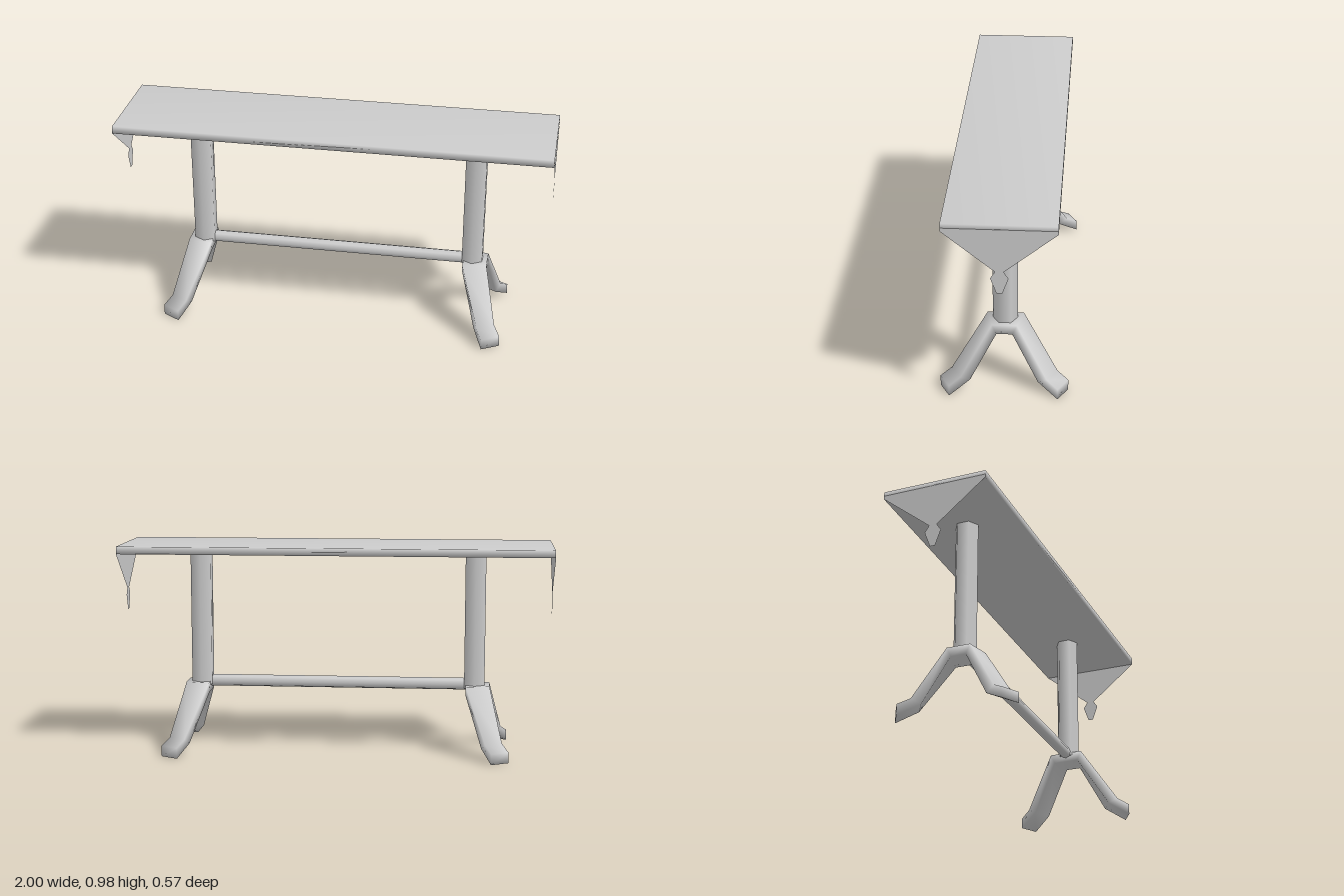
import * as THREE from 'three';
import { mergeVertices } from 'three/addons/utils/BufferGeometryUtils.js';

const material = new THREE.MeshStandardMaterial({ color: 0xcccccc });
const clothMaterial = new THREE.MeshStandardMaterial({ color: 0xcccccc, side: THREE.DoubleSide });

function part(name, geometry, mat = material) {
  const mesh = new THREE.Mesh(geometry, mat);
  mesh.name = name;
  return mesh;
}

// Weld all corners so the shading runs smoothly over the edges
function softened(geometry) {
  geometry.deleteAttribute('normal');
  geometry.deleteAttribute('uv');
  const welded = mergeVertices(geometry);
  welded.computeVertexNormals();
  return welded;
}

// Four-sided tube through rings of corners, closed at both ends
function loft(rings) {
  const index = [];
  const quad = (a, b, c, d) => index.push(a, b, c, a, c, d);
  for (let s = 0; s < rings.length - 1; s++) {
    for (let k = 0; k < 4; k++) {
      const n = (k + 1) % 4;
      quad(s * 4 + k, s * 4 + 4 + k, s * 4 + 4 + n, s * 4 + n);
    }
  }
  const e = (rings.length - 1) * 4;
  quad(0, 1, 2, 3);
  quad(e + 3, e + 2, e + 1, e);
  const geometry = new THREE.BufferGeometry();
  geometry.setAttribute('position', new THREE.Float32BufferAttribute(rings.flat(2), 3));
  geometry.setIndex(index);
  geometry.computeVertexNormals();
  return geometry;
}

// Splayed pair of legs: outer top, inner top, inner bottom, outer bottom per ring
function legPair() {
  const foot = [[0.805, 0.05, 0.24], [0.725, 0.05, 0.285], [0.725, 0, 0.285], [0.805, 0, 0.24]];
  const ankle = [[0.775, 0.08, 0.19], [0.697, 0.08, 0.235], [0.68, 0.055, 0.195], [0.755, 0.055, 0.15]];
  const hip = [[0.716, 0.32, 0.055], [0.605, 0.32, 0.08], [0.605, 0.275, 0.06], [0.716, 0.275, 0.035]];
  const half = [foot, ankle, hip];
  const mirrored = half.map(ring => ring.map(([x, y, z]) => [x, y, -z])).reverse();
  return loft([...half, ...mirrored]);
}

// Hanging cloth end with its tassel
function clothEnd() {
  const side = [[0.24, 0.96], [0.24, 0.945], [0.018, 0.763], [0.038, 0.732], [0.012, 0.66]];
  const outline = [...side, ...side.map(([z, y]) => [-z, y]).reverse()];
  const geometry = new THREE.ShapeGeometry(new THREE.Shape(outline.map(p => new THREE.Vector2(...p))));
  return geometry.rotateY(Math.PI / 2).translate(1, 0, 0);
}

export function createModel() {
  const group = new THREE.Group();
  group.name = 'trestleTable';

  // Table top
  const top = part('tableTop', softened(new THREE.BoxGeometry(1.998, 0.035, 0.48)));
  top.position.y = 0.9625;
  group.add(top);

  // Stretcher between the columns
  const stretcher = part('stretcher', new THREE.CylinderGeometry(0.028, 0.028, 1.22, 8).rotateZ(Math.PI / 2));
  stretcher.position.y = 0.322;
  group.add(stretcher);

  // Column, legs and cloth, the same at both ends
  for (const name of ['left', 'right']) {
    const end = new THREE.Group();
    end.name = name + 'End';
    const column = part('column', new THREE.CylinderGeometry(0.055, 0.055, 0.645, 6));
    column.position.set(0.645, 0.6275, 0);
    end.add(column, part('legPair', legPair()), part('clothEnd', clothEnd(), clothMaterial));
    if (name === 'right') end.rotation.y = Math.PI;
    group.add(end);
  }
  return group;
}
